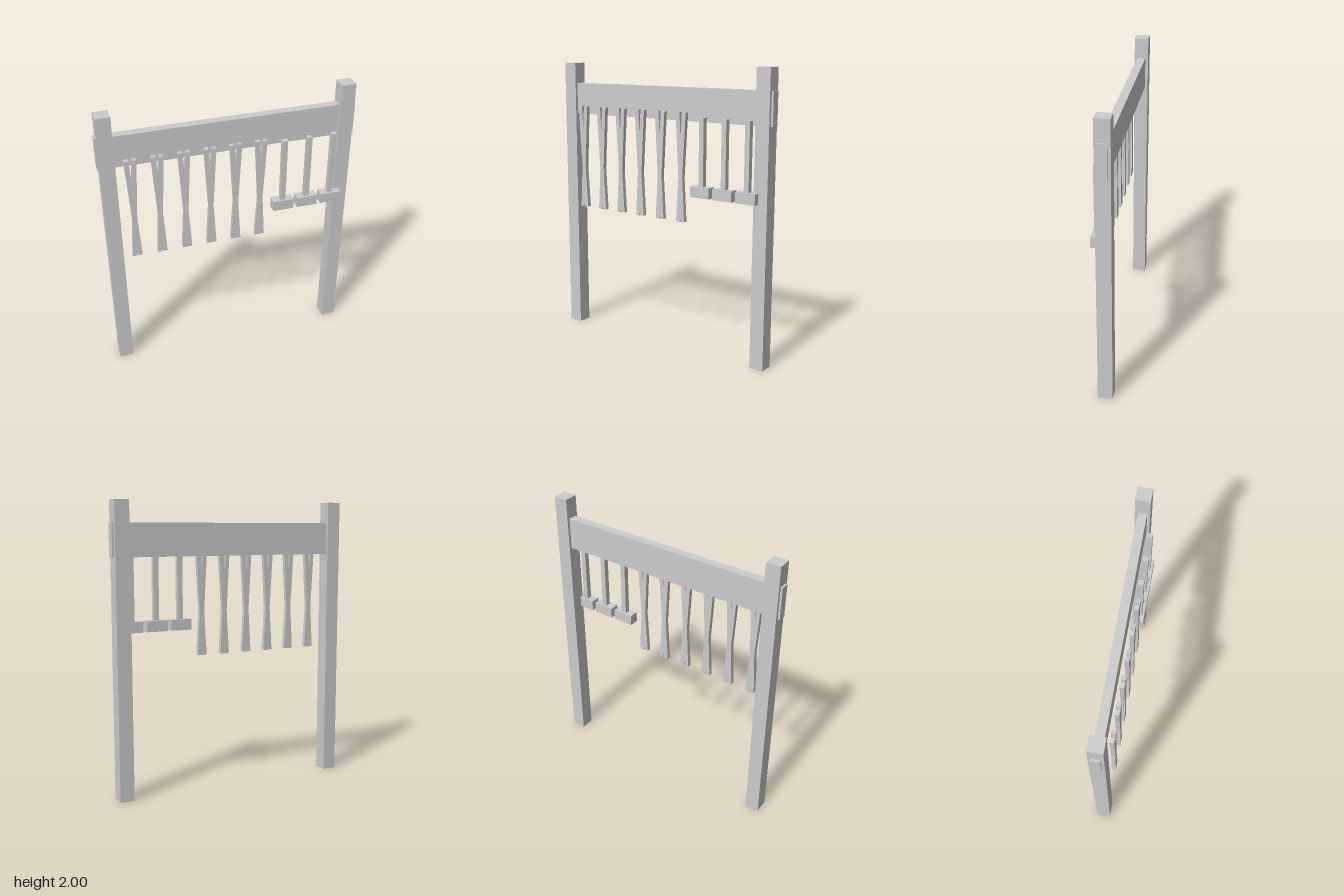
import * as THREE from 'three';

export function createModel() {
  const root = new THREE.Group();
  const grey = new THREE.MeshStandardMaterial({ color: 0xcccccc });
  grey.name = 'plain grey';

  const add = (name, geometry, x, y, z) => {
    const mesh = new THREE.Mesh(geometry, grey);
    mesh.name = name;
    mesh.position.set(x, y, z);
    root.add(mesh);
  };

  // Frame: two square posts and a plank passing through them
  const post = new THREE.BoxGeometry(0.1, 2, 0.1);
  add('rightPost', post, -0.814, 1, -0.022);
  add('leftPost', post, 0.814, 1, -0.022);
  add('crossBeam', new THREE.BoxGeometry(1.756, 0.223, 0.06), 0, 1.742, -0.022);

  // Crossed-slat hanger: right half of the outline, mirrored for the left
  const half = [
    [0, 0.975], [0.003, 0.938], [0.034, 0.941], [0.016, 1.247],
    [0.041, 1.69], [0.01, 1.692], [0, 1.522],
  ];
  const mirrored = half.slice(1, -1).reverse().map(([x, y]) => [-x, y]);
  const outline = [...half, ...mirrored].map(([x, y]) => new THREE.Vector2(x, y));
  const slats = new THREE.ExtrudeGeometry(new THREE.Shape(outline), {
    depth: 0.029, bevelEnabled: false,
  });
  for (let i = 0; i < 6; i++) add('crossedSlats' + (i + 1), slats, -0.671 + i * 0.1755, 0, 0.027);

  // Hanging mallets: a square handle with a block at the bottom
  const handle = new THREE.BoxGeometry(0.036, 0.463, 0.037);
  const block = new THREE.BoxGeometry(0.148, 0.074, 0.068);
  for (let i = 0; i < 3; i++) {
    const x = 0.374 + i * 0.1755;
    add('malletHandle' + (i + 1), handle, x, 1.4315, 0.038);
    add('malletHead' + (i + 1), block, x, 1.164, 0.038);
  }
  return root;
}
